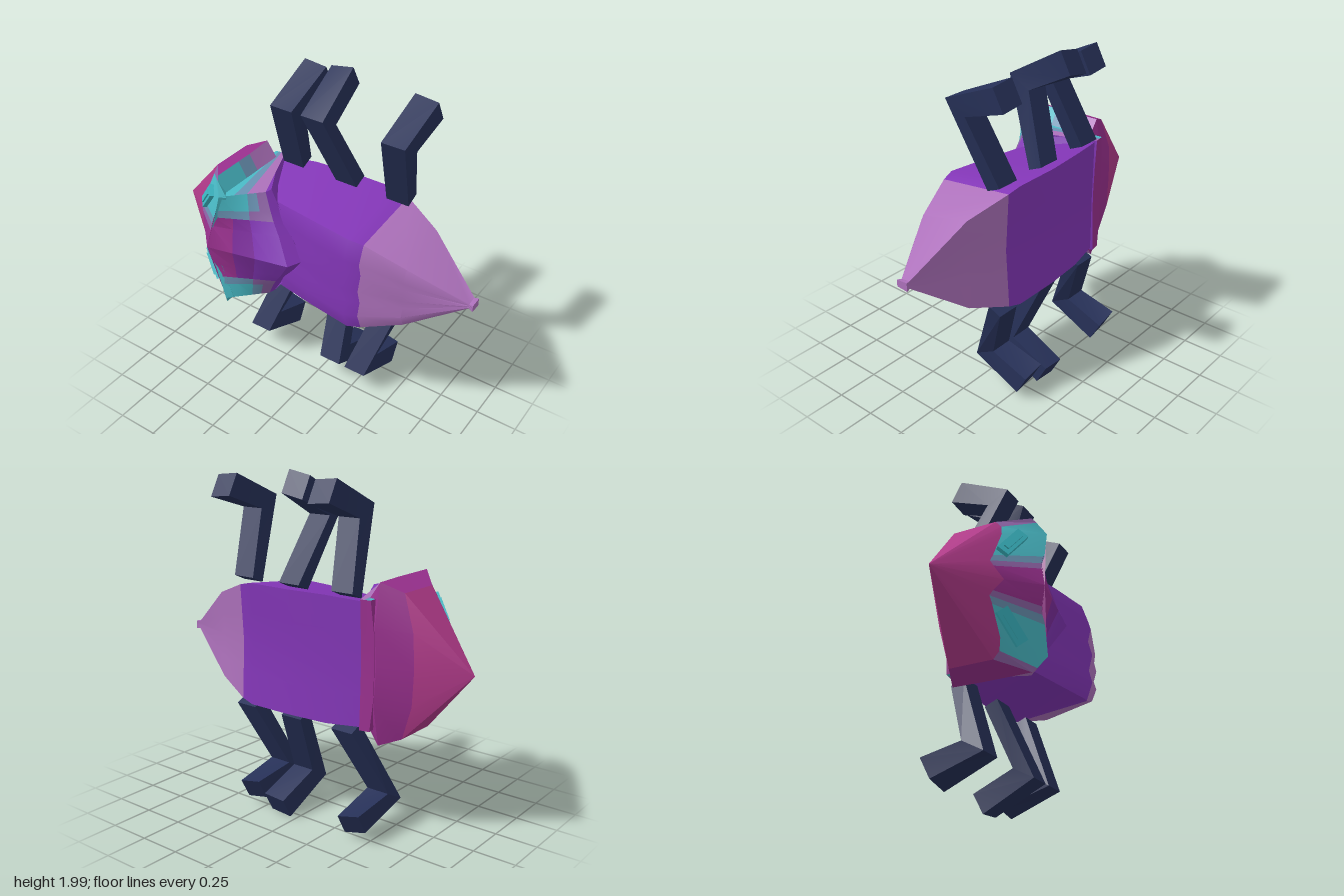
import * as THREE from 'three';
import { toCreasedNormals } from 'three/addons/utils/BufferGeometryUtils.js';

const MID = 0.99; // height of the mirror plane
const palette = {
  magenta: 0xb03a89, plum: 0x99308e, purple: 0x7e2e9e, violet: 0x8336b7, lilac: 0xad71bb,
  teal: 0x4abcc8, steel: 0x6a93b4, mauve: 0x8f64a7, eyeCyan: 0x3cbac6, navy: 0x263057,
};

export function createModel() {
  const mats = {};
  for (const [name, hex] of Object.entries(palette)) {
    mats[name] = new THREE.MeshStandardMaterial({ color: hex });
    mats[name].name = name;
  }
  const model = new THREE.Group();
  const add = (geo, mat, name) => {
    const m = new THREE.Mesh(geo, mat);
    m.name = name;
    model.add(m);
    return m;
  };

  // Skin closed, capped rings of [x, y, z]; colourOf(i, j) names the colour of each cell
  function loft(name, rings, colourOf, crease) {
    const buckets = {};
    const put = (c, ...pts) => (buckets[c] ??= []).push(...pts.flat());
    const n = rings[0].length, last = rings.length - 1;
    for (let i = 0; i < last; i++) {
      for (let j = 0; j < n; j++) {
        const k = (j + 1) % n;
        const [a, b, c, d] = [rings[i][j], rings[i][k], rings[i + 1][j], rings[i + 1][k]];
        put(colourOf(i, j), a, c, b, b, c, d);
      }
    }
    for (let j = 1; j < n - 1; j++) {
      const s = rings[0], e = rings[last];
      put(colourOf(0, 0), s[0], s[j], s[j + 1]);
      put(colourOf(last - 1, 0), e[0], e[j + 1], e[j]);
    }
    const geo = new THREE.BufferGeometry();
    const names = Object.keys(buckets);
    const all = [];
    names.forEach((c, m) => {
      geo.addGroup(all.length / 3, buckets[c].length / 3, m);
      for (const v of buckets[c]) all.push(v);
    });
    geo.setAttribute('position', new THREE.Float32BufferAttribute(all, 3));
    add(toCreasedNormals(geo, crease), names.map((c) => mats[c]), name);
  }

  // Half ring (back ridge round to belly ridge) mirrored about the mid plane
  const full = (half) => [
    ...half.map(([x, y, z]) => [x, MID + y, z]),
    ...half.slice(1, -1).reverse().map(([x, y, z]) => [x, MID - y, z]),
  ];
  // Mirrored cell index back to its half-ring index
  const cell = (j, n) => (j < n - 1 ? j : 2 * (n - 1) - 1 - j);
  const lerpHalf = (a, b, t) => a.map((p, j) => p.map((v, k) => v + (b[j][k] - v) * t));

  // Abdomen: x, front edge y, belly edge y, top z, belly z, ripple
  const abdomen = [
    [-0.44, 0.28, 0.345, 0.1, -0.225, 0.2],
    [-0.2, 0.295, 0.36, 0.14, -0.27, 0.5],
    [0.05, 0.30, 0.36, 0.195, -0.29, 0.8],
    [0.33, 0.30, 0.36, 0.245, -0.29, 1],
    [0.41, 0.285, 0.34, 0.225, -0.28, 1],
    [0.64, 0.19, 0.26, 0.15, -0.2, 0.8],
    [0.95, 0.015, 0.022, -0.03, -0.09, 0.1],
    [0.975, 0.02, 0.025, -0.025, -0.095, 0],
  ].map(([x, f, b, t, u, r]) => {
    const drop = x > 0.41 ? -0.02 * (x - 0.41) / 0.55 : 0;
    return full([[0, t], [f * 0.33, t - 0.025 * r], [f * 0.62, t - 0.005 * r], [f, t - 0.045 * r],
      [b, u], [b * 0.5, u + 0.01 * r], [0, u + 0.02 * r]].map(([y, z]) => [x, y, z]))
      .map(([px, py, pz]) => [px, py + drop, pz]);
  });
  loft('abdomen', abdomen, (i) => (i < 4 ? 'violet' : 'lilac'), 0.8);

  // Collar: overlapping shield that ends in a point on the back
  const collarFront = [[-0.52, 0, 0.375], [-0.5, 0.14, 0.345], [-0.475, 0.21, 0.347], [-0.455, 0.26, 0.345],
    [-0.43, 0.36, 0.34], [-0.455, 0.36, 0.02], [-0.47, 0.36, -0.235], [-0.49, 0.18, -0.23], [-0.49, 0, -0.225]];
  const collarBack = [[-0.03, 0, 0.265], [-0.12, 0.14, 0.215], [-0.17, 0.21, 0.195], [-0.2, 0.26, 0.18],
    [-0.25, 0.36, 0.155], [-0.33, 0.36, -0.045], [-0.41, 0.36, -0.245], [-0.41, 0.18, -0.237], [-0.41, 0, -0.232]];
  const lip = collarBack.map(([x, y, z], j) => (j < 5
    ? [x + [0.04, 0.03, 0.02, 0.02, 0.01][j], y, z - [0.09, 0.08, 0.07, 0.06, 0.04][j]]
    : [x + 0.01, y * 0.98, z + 0.02]));
  const collar = [...[0, 0.32, 0.6, 0.8, 1].map((t) => lerpHalf(collarFront, collarBack, t)), lip];
  const main = ['plum', 'purple', 'violet', 'violet', 'violet'];
  const belly = ['plum', 'plum', 'plum', 'plum', 'violet'];
  const collarColours = [main, main,
    ['steel', 'steel', 'mauve', 'mauve', 'violet'], // border of the side patch
    ['teal', 'teal', 'steel', 'mauve', 'violet'],   // side patch
    ['teal', 'steel', 'lilac', 'lilac', 'violet'],  // flank near the back
    ['teal', 'steel', 'lilac', 'lilac', 'violet'],  // flank near the belly
    belly, belly];
  loft('collar', collar.map(full), (i, j) => collarColours[cell(j, 9)][i], 0.35);

  // Head: pointed snout flaring to a wide rim, then stepping in under the collar
  const tip = [-0.98, 0, -0.03];
  const headMid = [[-0.67, 0, 0.22], [-0.71, 0.07, 0.18], [-0.72, 0.1, 0.165], [-0.7, 0.14, 0.17],
    [-0.63, 0.3, 0.18], [-0.61, 0.36, 0.165], [-0.61, 0.4, 0.13], [-0.61, 0.4, 0.04], [-0.61, 0.4, 0],
    [-0.61, 0.4, -0.13], [-0.68, 0.2, -0.15], [-0.69, 0, -0.15]];
  const headRim = [[-0.52, 0, 0.375], [-0.505, 0.11, 0.35], [-0.49, 0.15, 0.345], [-0.47, 0.2, 0.35],
    [-0.43, 0.36, 0.345], [-0.465, 0.425, 0.3], [-0.48, 0.45, 0.28], [-0.48, 0.45, 0.1], [-0.48, 0.45, 0],
    [-0.49, 0.45, -0.18], [-0.49, 0.22, -0.227], [-0.5, 0, -0.222]];
  const headInner = headRim.map(([x, y, z], j) => (j < 5
    ? [x + 0.03, Math.min(y, 0.35), z - 0.03]
    : [-0.42, Math.min(y, 0.35), Math.max(Math.min(z, 0.28), -0.222)]));
  const frontColours = ['plum', 'mauve', 'steel', 'teal', 'teal', 'mauve'];
  loft('head', [headMid.map(() => tip), headMid, headRim, headInner].map(full), (i, j) => {
    const h = cell(j, 12);
    if (i === 0) return 'magenta';
    if (i === 1) return frontColours[h] ?? 'plum';
    return h < 7 ? 'teal' : h === 7 ? 'steel' : h === 8 ? 'lilac' : 'plum';
  }, 0.35);

  // Eyes: stepped slabs lying on the sloping face of the head
  for (const s of [1, -1]) {
    const normal = new THREE.Vector3(-0.87, 0.3 * s, 1).normalize();
    const along = new THREE.Vector3(0.13, 0.17 * s, 0.062).normalize();
    const across = new THREE.Vector3().crossVectors(normal, along);
    for (const [len, wide, lift] of [[0.2, 0.07, 0.005], [0.14, 0.03, 0.014]]) {
      const eye = add(new THREE.BoxGeometry(len, wide, 0.03), mats.eyeCyan, s > 0 ? 'upperEye' : 'lowerEye');
      eye.quaternion.setFromRotationMatrix(new THREE.Matrix4().makeBasis(along, across, normal));
      eye.position.set(-0.605, MID + 0.24 * s, 0.228).addScaledVector(normal, lift);
    }
  }

  // Legs: bent square bars; outer and inner [z, y] at hip, knee and foot
  const joints = [[[-0.185, 0.35], [-0.265, 0.385]], [[0.025, 0.825], [-0.105, 0.755]], [[-0.295, 0.98], [-0.36, 0.86]]];
  // side, x at hip, knee and foot, foot shortening, foot tilt
  const legs = [
    [1, [-0.305, -0.23, -0.225], 0.01, -0.1], [1, [0.06, -0.03, -0.05], -0.015, 0.18], [1, [0.395, 0.465, 0.47], 0.02, -0.1],
    [-1, [-0.305, -0.44, -0.425], 0.04, -0.25], [-1, [0.055, 0.1, 0.11], 0, 0.07], [-1, [0.4, 0.28, 0.295], 0.05, -0.2],
  ];
  for (const [s, xs, shorten, tilt] of legs) {
    const rings = joints.map(([outer, inner], i) => {
      const foot = i === 2 ? 1 : 0;
      const at = (dx, [z, y]) => [xs[i] + dx, MID + s * (y - shorten * foot) + tilt * dx * foot, z];
      const ring = [at(-0.07, outer), at(0.07, outer), at(0.07, inner), at(-0.07, inner)];
      return s > 0 ? ring.reverse() : ring;
    });
    loft(s > 0 ? 'upperLeg' : 'lowerLeg', rings, () => 'navy', 0.3);
  }

  return model;
}
